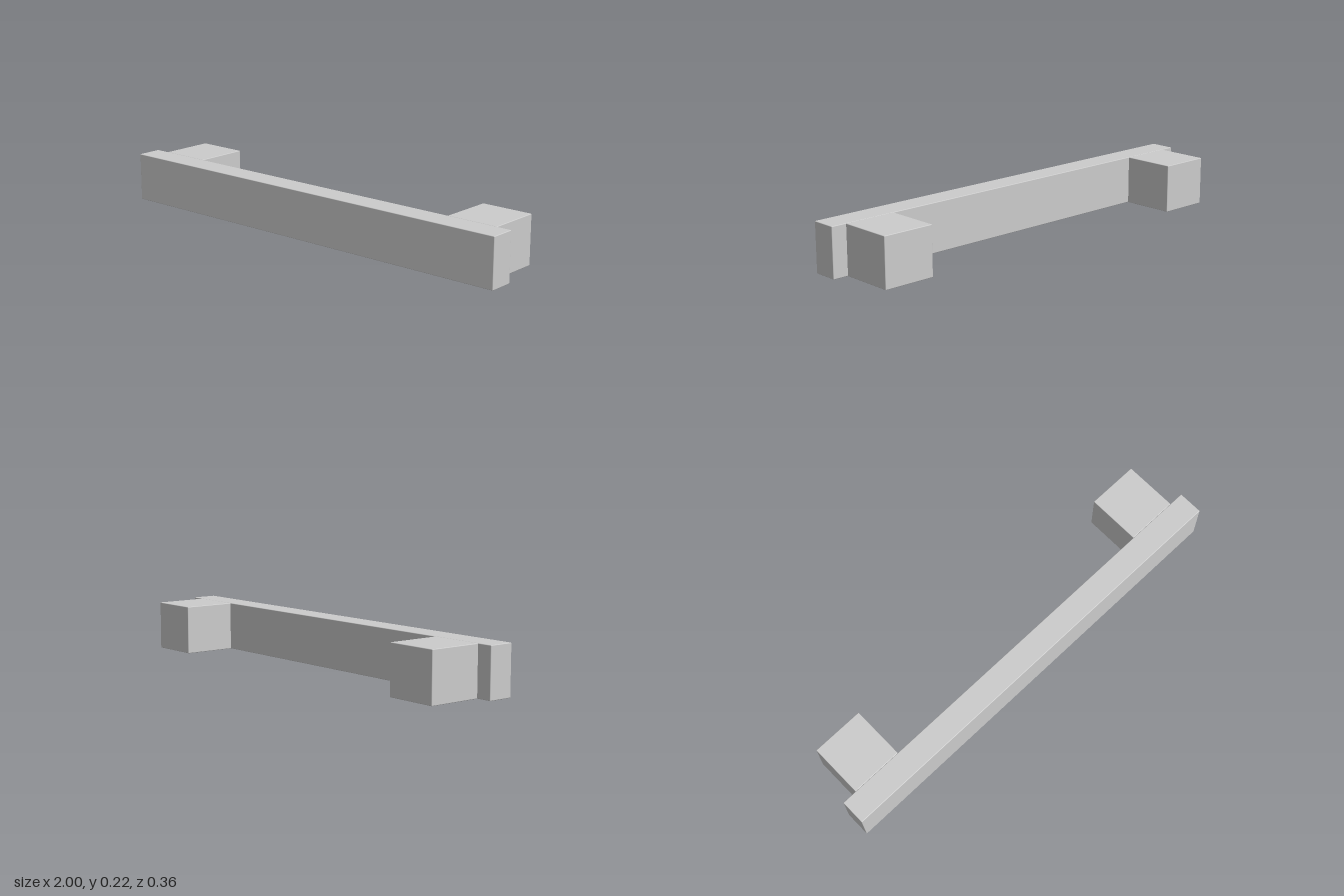
import * as THREE from 'three';
import { RoundedBoxGeometry } from 'three/addons/geometries/RoundedBoxGeometry.js';

const HEIGHT = 0.217;
const BEVEL = 0.003;

export function createModel() {
  const model = new THREE.Group();
  model.name = 'barHandle';
  const material = new THREE.MeshStandardMaterial({ color: 0xcccccc });

  // Block with finely eased edges, standing on the ground between two z limits
  const addBlock = (name, x, width, zBack, zFront) => {
    const geometry = new RoundedBoxGeometry(width, HEIGHT, zFront - zBack, 2, BEVEL);
    const mesh = new THREE.Mesh(geometry, material);
    mesh.name = name;
    mesh.position.set(x, HEIGHT / 2, (zBack + zFront) / 2);
    model.add(mesh);
  };

  // Long grip bar at the front
  addBlock('gripBar', 0, 2, 0.065, 0.178);

  // Mounting posts behind the bar, mirrored left and right
  for (const [name, side] of [['leftPost', 1], ['rightPost', -1]]) {
    addBlock(name, side * 0.815, 0.235, -0.178, 0.065);
  }

  return model;
}
